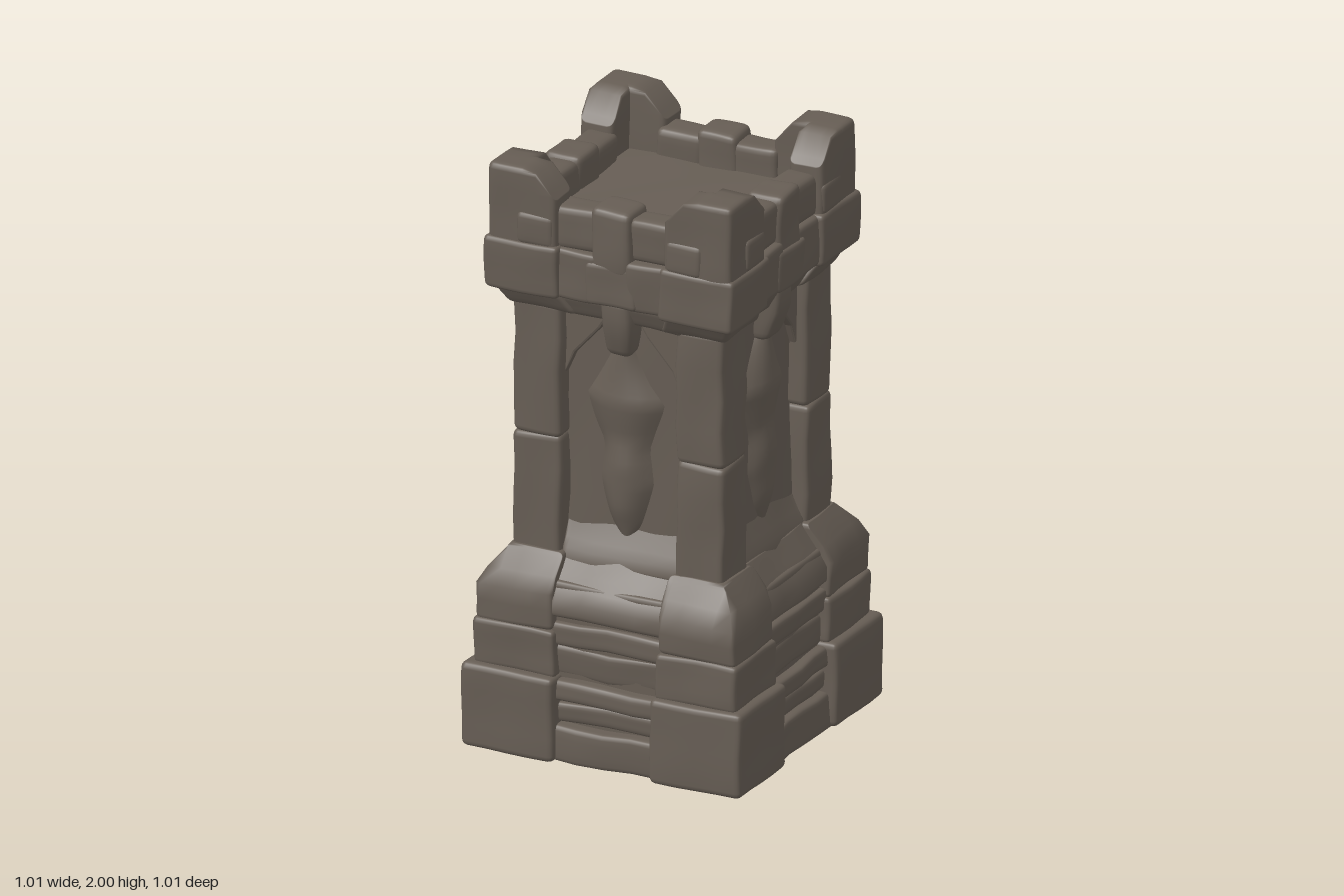
import * as THREE from 'three';
import { mergeVertices } from 'three/addons/utils/BufferGeometryUtils.js';

const stoneMat = new THREE.MeshStandardMaterial({ color: 0x665d54 });
stoneMat.name = 'weatheredStone';

const SEG = 8;

// Merge shared corners and give smooth normals
function smooth(geo) {
  geo.deleteAttribute('normal');
  geo.deleteAttribute('uv');
  const g = mergeVertices(geo, 1e-5);
  g.computeVertexNormals();
  return g;
}

// Soft, repeatable unevenness of hewn stone
function wobble(p, phase, amp) {
  const { x, y, z } = p;
  p.x += amp * Math.sin(17 * y + 13 * z + phase) * Math.cos(11 * z - 9 * y);
  p.y += amp * 0.6 * Math.sin(15 * x + 12 * z + phase * 2);
  p.z += amp * Math.sin(16 * y - 14 * x + phase * 1.7) * Math.cos(10 * x + 7 * y);
}

// Rounded, slightly uneven block between two limits on each axis
function stone(name, [x0, x1], [y0, y1], [z0, z1], phase, { r = 0.018, amp = 0.005, warp } = {}) {
  const half = new THREE.Vector3(x1 - x0, y1 - y0, z1 - z0).multiplyScalar(0.5);
  const mid = new THREE.Vector3(x0 + x1, y0 + y1, z0 + z1).multiplyScalar(0.5);
  const geo = new THREE.BoxGeometry(2, 2, 2, SEG, SEG, SEG);
  const pos = geo.attributes.position;
  const p = new THREE.Vector3(), inner = new THREE.Vector3();
  const rad = Math.min(r, half.x * 0.6, half.y * 0.6, half.z * 0.6);
  // Crowd the outer grid lines into the rounded edge
  const spread = (u, h) => {
    const a = Math.abs(u), s = Math.sign(u);
    if (a > 0.99) return s * h;
    if (a > 0.7) return s * (h - rad * 0.45);
    return (u / 0.5) * (h - rad);
  };
  for (let i = 0; i < pos.count; i++) {
    p.fromBufferAttribute(pos, i);
    for (const k of ['x', 'y', 'z']) {
      p[k] = spread(p[k], half[k]);
      inner[k] = THREE.MathUtils.clamp(p[k], rad - half[k], half[k] - rad);
    }
    p.sub(inner).setLength(rad).add(inner).add(mid);
    if (warp) warp(p);
    wobble(p, phase, amp);
    p.y = THREE.MathUtils.clamp(p.y, 0, 2);
    pos.setXYZ(i, p.x, p.y, p.z);
  }
  const mesh = new THREE.Mesh(smooth(geo), stoneMat);
  mesh.name = name;
  return mesh;
}

// Straight interpolation through [y, value] pairs
function along(points, y) {
  for (let i = 1; i < points.length; i++) {
    const [ya, a] = points[i - 1], [yb, b] = points[i];
    if (y <= yb) return a + (b - a) * THREE.MathUtils.clamp((y - ya) / (yb - ya), 0, 1);
  }
  return points[points.length - 1][1];
}

// Carved relief that swells out of the wall panel
function relief(phase) {
  const outline = [[0.74, 0.02], [0.8, 0.06], [0.94, 0.1], [1.06, 0.085], [1.22, 0.145], [1.33, 0.08], [1.4, 0.04]];
  const depth = [[0.74, 0.0], [0.85, 0.035], [1.0, 0.045], [1.1, 0.03], [1.22, 0.05], [1.4, 0.02]];
  const geo = new THREE.PlaneGeometry(2, 1, 8, 26);
  const pos = geo.attributes.position;
  const p = new THREE.Vector3();
  for (let i = 0; i < pos.count; i++) {
    const u = pos.getX(i), y = 0.74 + (pos.getY(i) + 0.5) * 0.66;
    p.set(u * along(outline, y), y, 0.305 + (1 - Math.abs(u) ** 2.2) * (along(depth, y) + 0.015));
    wobble(p, phase, 0.003);
    pos.setXYZ(i, p.x, p.y, p.z);
  }
  const mesh = new THREE.Mesh(smooth(geo), stoneMat);
  mesh.name = 'carvedRelief';
  return mesh;
}

// Slanted filler in the upper corner of a wall panel
function spandrel(side) {
  const s = new THREE.Shape();
  s.moveTo(0.21, 1.54).lineTo(0.04, 1.54).lineTo(0.09, 1.46).lineTo(0.18, 1.36).lineTo(0.21, 1.28);
  const geo = new THREE.ExtrudeGeometry(s, {
    depth: 0.05, bevelEnabled: true, bevelSize: 0.008, bevelThickness: 0.008, bevelSegments: 2,
  });
  const mesh = new THREE.Mesh(geo, stoneMat);
  mesh.name = 'archSpandrel';
  geo.translate(0, 0, 0.28);
  if (side < 0) {
    geo.rotateY(Math.PI);
    geo.translate(0, 0, 0.61);
  }
  return mesh;
}

// Everything in the middle of one face
function faceParts(k) {
  const g = new THREE.Group();
  g.name = 'towerFace';
  const ph = k * 1.3;
  const add = (name, x, y, z, opt) => g.add(stone(name, x, y, z, ph + g.children.length, opt));
  // Base and step courses
  const courses = [
    [0, 0.125, 0.475], [0.13, 0.2, 0.45], [0.205, 0.275, 0.47],
    [0.28, 0.385, 0.435], [0.39, 0.47, 0.45],
  ];
  for (const [a, b, z] of courses) add('stepCourse', [-0.21, 0.21], [a, b], [0.3, z], { amp: 0.007 });
  add('slopedSill', [-0.21, 0.21], [0.485, 0.675], [0.25, 0.455], {
    warp: (p) => { p.z = Math.min(p.z, 0.455 - Math.max(0, p.y - 0.55) * 0.75); },
  });
  // Recessed wall with sloping foot
  add('wallPanel', [-0.23, 0.23], [0.64, 1.56], [0.2, 0.315], { amp: 0.008 });
  add('panelFoot', [-0.21, 0.21], [0.64, 0.8], [0.22, 0.37], {
    warp: (p) => { p.z = Math.min(p.z, 0.37 - Math.max(0, p.y - 0.67) * 0.5); },
  });
  g.add(relief(ph));
  for (const s of [-1, 1]) g.add(spandrel(s));
  // Lintel, bracket and parapet
  add('lintel', [-0.23, 0.23], [1.5, 1.59], [0.25, 0.405], {
    warp: (p) => { p.z -= Math.max(0, 1.57 - p.y) * 0.5; },
  });
  add('bracket', [-0.055, 0.055], [1.385, 1.6], [0.28, 0.41], {
    r: 0.03, warp: (p) => { p.z -= Math.max(0, 1.5 - p.y) * 0.35; p.x *= 1 - Math.max(0, 1.47 - p.y) * 2; },
  });
  for (const s of [-1, 1]) {
    const span = (a, b) => (s > 0 ? [a, b] : [-b, -a]);
    add('parapetLower', span(0.05, 0.21), [1.575, 1.745], [0.28, 0.428]);
    add('parapetUpper', span(0.05, 0.22), [1.74, 1.885], [0.3, 0.412], { r: 0.025 });
  }
  add('middleMerlonFoot', [-0.09, 0.09], [1.575, 1.72], [0.28, 0.434]);
  add('middleMerlon', [-0.072, 0.072], [1.68, 1.905], [0.293, 0.428], { r: 0.025 });
  return g;
}

// Everything on one corner
function cornerParts(k) {
  const g = new THREE.Group();
  g.name = 'towerCorner';
  const ph = k * 2.1 + 0.5;
  const add = (name, a, y, opt) => g.add(stone(name, a, y, a, ph + g.children.length, opt));
  add('baseBlock', [0.17, 0.5], [0, 0.29], { r: 0.022, amp: 0.003 });
  add('tierBlockLower', [0.18, 0.472], [0.28, 0.44]);
  add('tierBlockUpper', [0.19, 0.465], [0.435, 0.68], {
    warp: (p) => {
      const lim = 0.468 - Math.max(0, p.y - 0.565) * 0.75;
      p.x = Math.min(p.x, lim);
      p.z = Math.min(p.z, lim);
    },
  });
  add('pillarLower', [0.205, 0.378], [0.65, 1.072], { r: 0.022 });
  add('pillarUpper', [0.205, 0.377], [1.066, 1.53], { r: 0.022 });
  add('corniceFlare', [0.19, 0.425], [1.505, 1.59], {
    warp: (p) => {
      const d = Math.max(0, 1.575 - p.y) * 0.6;
      p.x -= d;
      p.z -= d;
    },
  });
  add('corniceBlock', [0.18, 0.446], [1.57, 1.75], { amp: 0.004 });
  // L-shaped horn whose arms fall away from the corner
  const warp = (p) => {
    p.y = Math.min(p.y, 2 - Math.max(0, 0.275 - Math.min(p.x, p.z)) * 1.15);
  };
  const long = [0.192, 0.436], thin = [0.315, 0.436];
  g.add(stone('cornerMerlonArm', long, [1.72, 2], thin, ph, { r: 0.022, amp: 0.003, warp }));
  g.add(stone('cornerMerlonArm', thin, [1.72, 2], long, ph, { r: 0.022, amp: 0.003, warp }));
  // Small facing stones beneath the horn
  g.add(stone('facingStone', [0.2, 0.33], [1.74, 1.85], [0.35, 0.441], ph + 3, { amp: 0.003 }));
  g.add(stone('facingStone', [0.35, 0.441], [1.74, 1.85], [0.2, 0.33], ph + 4, { amp: 0.003 }));
  return g;
}

export function createModel() {
  const tower = new THREE.Group();
  tower.name = 'stoneTower';
  for (let k = 0; k < 4; k++) {
    for (const part of [faceParts(k), cornerParts(k)]) {
      part.rotation.y = (k * Math.PI) / 2;
      tower.add(part);
    }
  }
  // Solid core, underside and roof floor
  tower.add(stone('baseCore', [-0.43, 0.43], [0, 0.6], [-0.43, 0.43], 0, { amp: 0.002 }));
  tower.add(stone('shaftCore', [-0.3, 0.3], [0.5, 1.6], [-0.3, 0.3], 0, { amp: 0.002 }));
  tower.add(stone('roofFloor', [-0.35, 0.35], [1.55, 1.79], [-0.35, 0.35], 1, { amp: 0.006 }));
  return tower;
}
